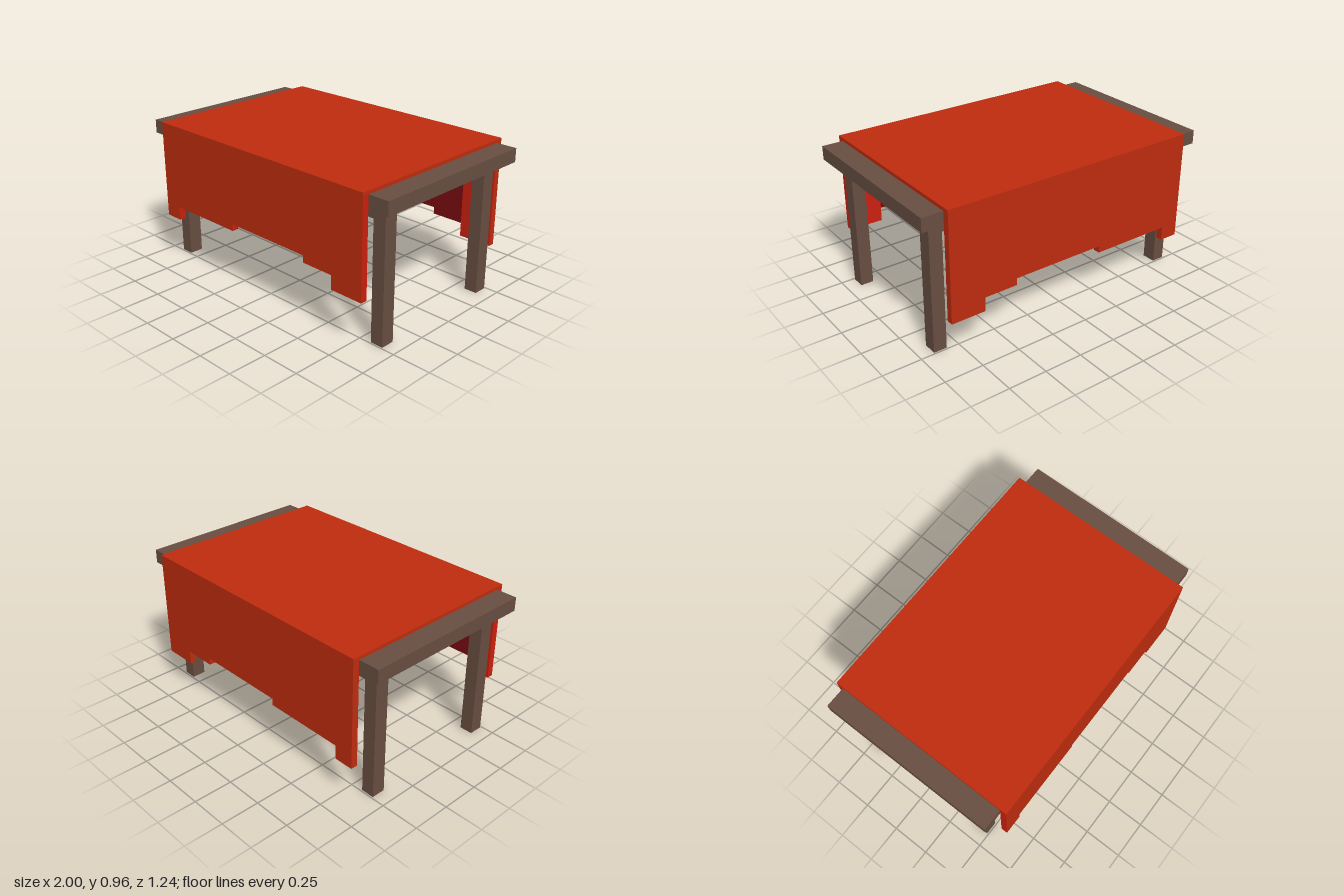
import * as THREE from 'three';

const mat = (name, color) => {
  const m = new THREE.MeshStandardMaterial({ color });
  m.name = name;
  return m;
};

export function createModel() {
  const model = new THREE.Group();
  model.name = 'clothCoveredTable';
  const wood = mat('brownWood', 0x684e41);
  const cloth = mat('redCloth', 0xbe2c0e);
  const bright = mat('brightRedCloth', 0xcc200f);
  const dark = mat('darkRedLining', 0x780b10);
  const foot = mat('slateFoot', 0x50607a);

  // Box given by its lower and upper limits on each axis
  const box = (name, material, [x0, x1], [y0, y1], [z0, z1], parent = model) => {
    const mesh = new THREE.Mesh(new THREE.BoxGeometry(x1 - x0, y1 - y0, z1 - z0), material);
    mesh.position.set((x0 + x1) / 2, (y0 + y1) / 2, (z0 + z1) / 2);
    mesh.name = name;
    parent.add(mesh);
    return mesh;
  };

  // Wooden table
  box('tableTop', wood, [-1, 1], [0.847, 0.935], [-0.578, 0.578]);
  box('apron', wood, [-0.825, 0.825], [0.76, 0.847], [-0.49, 0.49]);
  for (const sx of [-1, 1]) {
    for (const sz of [-1, 1]) {
      const leg = new THREE.Mesh(new THREE.BoxGeometry(0.085, 0.847, 0.09), [wood, wood, wood, foot, wood, wood]);
      leg.position.set(sx * 0.8675, 0.4235, sz * 0.445);
      leg.name = 'leg';
      model.add(leg);
    }
  }

  // Cloth over the top
  const W = 0.865, TOP = 0.935;
  box('clothTop', cloth, [-W, W], [TOP, 0.957], [-0.622, 0.622]);

  // Stepped lower edge: [left x, right x, height above the lowest edge]
  const steps = [[-W, -0.74, 0], [-0.74, -0.2, 0.09], [-0.2, 0.42, 0.135], [0.42, 0.64, 0.09], [0.64, W, 0]];

  // Hanging cloth panel with a lining on its inner face
  const addPanel = (name, side, bottom, edge) => {
    const group = new THREE.Group();
    group.name = name;
    const shape = new THREE.Shape();
    shape.moveTo(-W, TOP);
    for (const [x0, x1, rise] of steps) {
      shape.lineTo(x0, bottom + rise);
      shape.lineTo(x1, bottom + rise);
    }
    shape.lineTo(W, TOP);
    const geo = new THREE.ExtrudeGeometry(shape, { depth: 0.04, bevelEnabled: false });
    const panel = new THREE.Mesh(geo, [cloth, edge]);
    panel.position.z = side > 0 ? 0.582 : -0.622;
    panel.name = 'hangingCloth';
    group.add(panel);
    // Lining: bright at both ends, dark between
    for (const [x0, x1, rise] of steps) {
      box('lining', rise ? dark : bright, [x0, x1], [bottom + rise, TOP],
        side > 0 ? [0.579, 0.582] : [-0.582, -0.579], group);
    }
    model.add(group);
  };
  addPanel('frontCloth', 1, 0.315, bright);
  addPanel('backCloth', -1, 0.25, cloth);

  return model;
}
